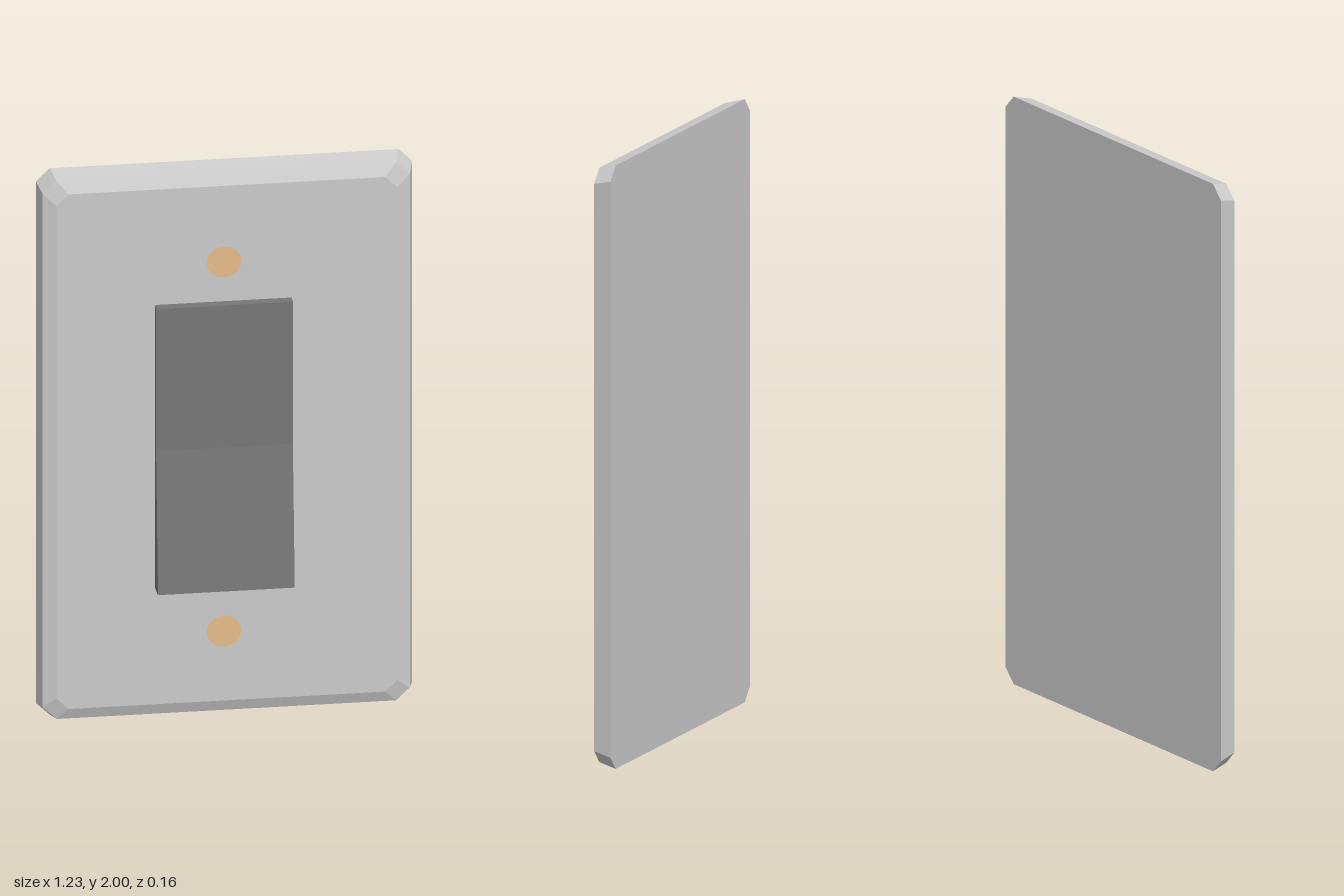
import * as THREE from 'three';

// Rectangle outline with cut corners, counter-clockwise seen from the front
function cutCornerRing(hx, hy, cut, z) {
  return [
    [hx, -hy + cut], [hx, hy - cut], [hx - cut, hy], [-hx + cut, hy],
    [-hx, hy - cut], [-hx, -hy + cut], [-hx + cut, -hy], [hx - cut, -hy],
  ].map(([x, y]) => [x, y + 1, z]);
}

// Solid through successive rings (back to front), capped at both ends
function loft(rings) {
  const pos = [];
  const tri = (a, b, c) => pos.push(...a, ...b, ...c);
  const n = rings[0].length;
  for (let r = 0; r < rings.length - 1; r++) {
    const a = rings[r], b = rings[r + 1];
    for (let i = 0; i < n; i++) {
      const j = (i + 1) % n;
      tri(a[i], a[j], b[j]);
      tri(a[i], b[j], b[i]);
    }
  }
  const back = rings[0], front = rings[rings.length - 1];
  for (let i = 1; i < n - 1; i++) {
    tri(front[0], front[i], front[i + 1]);
    tri(back[0], back[i + 1], back[i]);
  }
  const geo = new THREE.BufferGeometry();
  geo.setAttribute('position', new THREE.Float32BufferAttribute(pos, 3));
  geo.computeVertexNormals();
  return geo;
}

export function createModel() {
  const group = new THREE.Group();
  const add = (name, geo, color) => {
    const mesh = new THREE.Mesh(geo, new THREE.MeshStandardMaterial({ color, flatShading: true }));
    mesh.name = name;
    group.add(mesh);
    return mesh;
  };

  // Wall plate: tapered sides, then a shallow bevel to the front face
  add('wallPlate', loft([
    cutCornerRing(0.615, 1, 0.045, -0.08),
    cutCornerRing(0.6, 0.985, 0.045, -0.017),
    cutCornerRing(0.557, 0.942, 0.04, 0),
  ]), 0xcccccc);

  // Rocker: bent side profile (z, y) extruded across the width
  const profile = new THREE.Shape([
    [-0.005, 0.484], [0.082, 0.5], [0.03, 1.0], [0.03, 1.52], [-0.005, 1.52],
  ].map(([z, y]) => new THREE.Vector2(z, y)));
  const rocker = new THREE.ExtrudeGeometry(profile, { depth: 0.447, bevelEnabled: false });
  rocker.rotateY(-Math.PI / 2).translate(0.212, 0, 0);
  add('rockerSwitch', rocker, 0x777777);

  // Flush screw heads above and below the rocker
  [['upperScrew', 1.665], ['lowerScrew', 0.313]].forEach(([name, y]) => {
    add(name, new THREE.CircleGeometry(0.057, 16), 0xe8bc8c).position.set(-0.01, y, 0.002);
  });

  return group;
}
